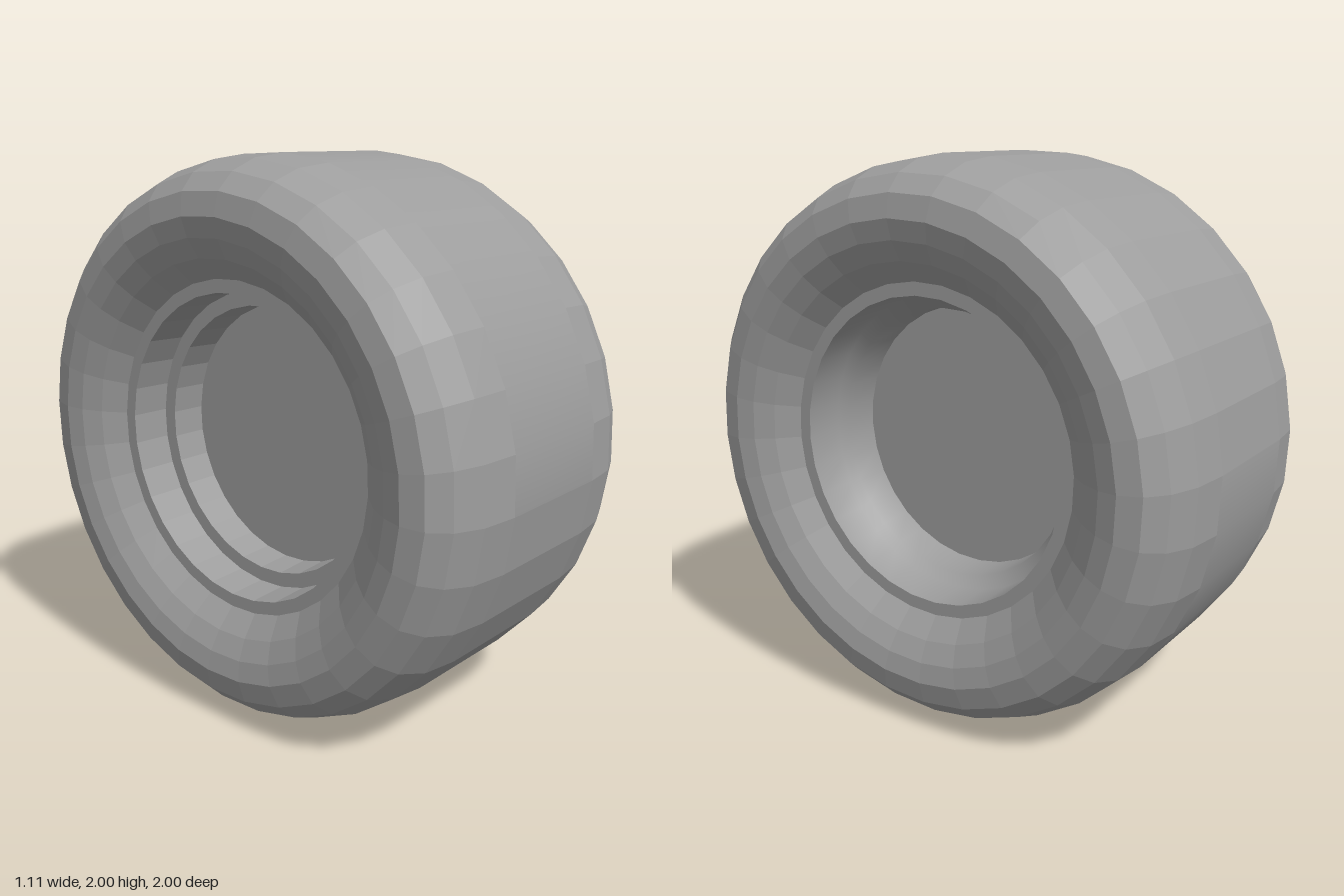
import * as THREE from 'three';

const SEGMENTS = 32;
const PHASE = THREE.MathUtils.degToRad(3.3);

// Half profiles as [distance along the axle, radius]
const SHOULDER = [[0.24, 1], [0.38, 0.985], [0.48, 0.945], [0.54, 0.885], [0.557, 0.805],
  [0.541, 0.735], [0.503, 0.665], [0.44, 0.592]];
const LIP = [[0.44, 0.592], [0.44, 0.545]];
const BARREL = [[0.44, 0.545], [0.295, 0.538], [0.295, 0.485], [0.165, 0.478]];
const DISC = [[0.165, 0.478], [0.165, 0]];
const TREAD = [[-0.24, 1], [0.24, 1]];

const color = 0x9d9d9d;
const faceted = new THREE.MeshStandardMaterial({ color, flatShading: true });
const smooth = new THREE.MeshStandardMaterial({ color });

// Turns a profile around the axle, which lies along x; quarter picks one fourth of the turn
function turned(name, profile, material, quarter) {
  const points = profile.map(([along, radius]) => new THREE.Vector2(radius, along));
  const geometry = quarter === undefined
    ? new THREE.LatheGeometry(points, SEGMENTS, PHASE)
    : new THREE.LatheGeometry(points, SEGMENTS / 4, PHASE + quarter * Math.PI / 2, Math.PI / 2);
  geometry.rotateZ(-Math.PI / 2);
  const mesh = new THREE.Mesh(geometry, material);
  mesh.name = name;
  return mesh;
}

// The same profile on the other side, in reverse so the faces still point outward
const mirrored = (profile) => profile.map(([along, radius]) => [-along, radius]).reverse();

export function createModel() {
  const wheel = new THREE.Group();
  wheel.name = 'wheel';

  // Tread in quarters: faceted and smooth ones alternate
  for (let quarter = 0; quarter < 4; quarter++) {
    wheel.add(turned('tread', TREAD, quarter % 2 ? smooth : faceted, quarter));
  }

  // Each side: rounded shoulder with sidewall, then a stepped, recessed rim
  const sides = [
    ['left', (profile) => profile, smooth],
    ['right', mirrored, faceted],
  ];
  for (const [side, place, barrelMaterial] of sides) {
    wheel.add(
      turned(`${side}Shoulder`, place(SHOULDER), faceted),
      turned(`${side}RimLip`, place(LIP), faceted),
      turned(`${side}RimBarrel`, place(BARREL), barrelMaterial),
      turned(`${side}HubDisc`, place(DISC), faceted),
    );
  }

  wheel.position.y = 1;
  const model = new THREE.Group();
  model.add(wheel);
  return model;
}
